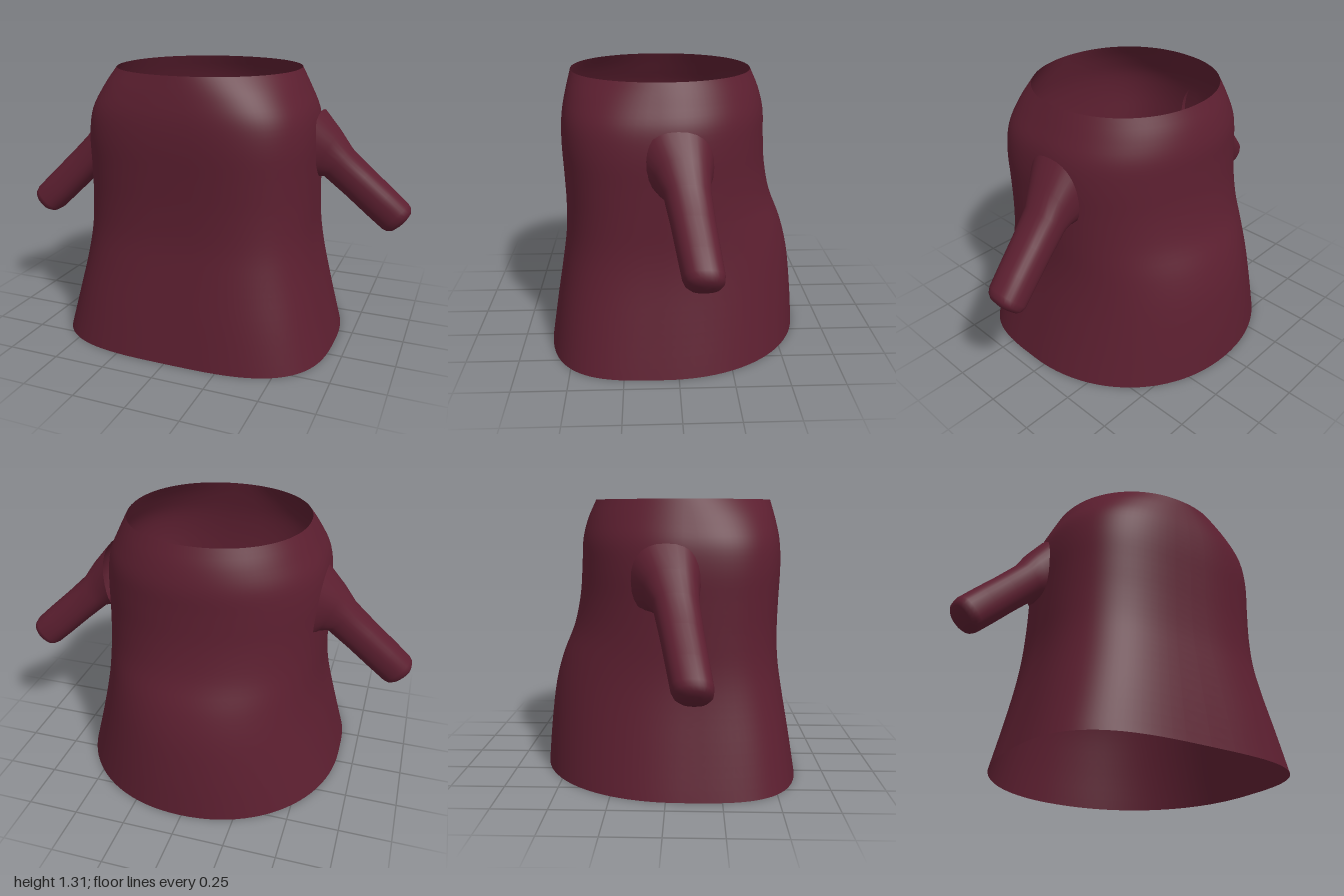
import * as THREE from 'three';

const material = new THREE.MeshStandardMaterial({ color: 0x5c1f30, side: THREE.DoubleSide });

// Smooth skin over closed rings of equal length
function loft(rings) {
  const n = rings[0].length, index = [];
  for (let i = 0; i < rings.length - 1; i++) {
    for (let j = 0; j < n; j++) {
      const a = i * n + j, b = i * n + (j + 1) % n;
      index.push(a, b, a + n, b, b + n, a + n);
    }
  }
  const geometry = new THREE.BufferGeometry();
  geometry.setAttribute('position', new THREE.Float32BufferAttribute(rings.flat(2), 3));
  geometry.setIndex(index);
  geometry.computeVertexNormals();
  return geometry;
}

const power = (v, n) => Math.sign(v) * Math.abs(v) ** (2 / n);

// Robe levels: y, half width, front z, back z, squareness of the front
const levels = [
  [0, 0.675, 0.622, -0.622, 3.3],
  [0.2, 0.622, 0.59, -0.606, 3.3],
  [0.4, 0.575, 0.556, -0.58, 3.2],
  [0.55, 0.553, 0.535, -0.54, 3.1],
  [0.7, 0.548, 0.53, -0.48, 3],
  [0.85, 0.547, 0.534, -0.448, 3],
  [1.0, 0.547, 0.54, -0.436, 3],
  [1.12, 0.53, 0.535, -0.43, 2.9],
  [1.22, 0.485, 0.517, -0.405, 2.6],
  [1.31, 0.44, 0.495, -0.365, 2.1],
];

function robeGeometry() {
  const spline = f => new THREE.CatmullRomCurve3(levels.map(f), false, 'catmullrom');
  const sides = spline(([y, w, f]) => new THREE.Vector3(y, w, f));
  const depth = spline(([, , , b, n]) => new THREE.Vector3(b, n, 0));
  const rings = [], steps = 36, around = 96;
  for (let i = 0; i <= steps; i++) {
    const { x: y, y: w, z: front } = sides.getPoint(i / steps);
    const { x: back, y: square } = depth.getPoint(i / steps);
    const mid = 0.07, ring = [];
    for (let j = 0; j < around; j++) {
      const a = j / around * Math.PI * 2, c = Math.cos(a), s = Math.sin(a);
      const n = c > 0 ? square : 2.1;
      ring.push([0.01 + w * power(s, n), y, mid + (c > 0 ? front - mid : mid - back) * power(c, n)]);
    }
    rings.push(ring);
  }
  return loft(rings);
}

// Sleeve with a flared root and a softly rounded closed end
function sleeveGeometry(side, root, elbow, tip) {
  const start = new THREE.Vector3(...elbow), end = new THREE.Vector3(...tip);
  const dir = end.clone().sub(start).normalize();
  const tilt = Math.atan2(-dir.y, Math.abs(dir.x));
  const at = d => end.clone().addScaledVector(dir, d);
  // centre, tilt, radius across, radius in depth
  const sections = [
    [new THREE.Vector3(...root), 0.1, 0.165, 0.155],
    [new THREE.Vector3(...root).lerp(start, 0.5), tilt * 0.55, 0.122, 0.122],
    [start, tilt, 0.09, 0.102],
    [start.clone().lerp(end, 0.35), tilt, 0.086, 0.094],
    [start.clone().lerp(end, 0.7), tilt, 0.086, 0.09],
    [at(-0.02), tilt, 0.084, 0.087],
    [at(0.005), tilt, 0.077, 0.08],
    [at(0.022), tilt, 0.06, 0.062],
    [at(0.03), tilt, 0.03, 0.03],
    [at(0.031), tilt, 0, 0],
  ];
  const around = 28;
  return loft(sections.map(([c, t, up, deep]) => Array.from({ length: around }, (_, j) => {
    const a = side * j / around * Math.PI * 2;
    const u = up * power(Math.cos(a), 2.4), v = deep * power(Math.sin(a), 2.4);
    return [c.x + side * u * Math.sin(t), c.y + u * Math.cos(t), c.z + v];
  })));
}

export function createModel() {
  const group = new THREE.Group();
  const add = (name, geometry) => {
    const mesh = new THREE.Mesh(geometry, material);
    mesh.name = name;
    group.add(mesh);
  };
  add('robe', robeGeometry());
  // One sleeve swings slightly back, the other slightly forward
  add('leftSleeve', sleeveGeometry(1, [0.535, 0.955, 0], [0.63, 0.865, -0.035], [0.92, 0.6, -0.088]));
  add('rightSleeve', sleeveGeometry(-1, [-0.515, 0.955, 0], [-0.61, 0.86, 0.045], [-0.915, 0.555, 0.118]));
  return group;
}
